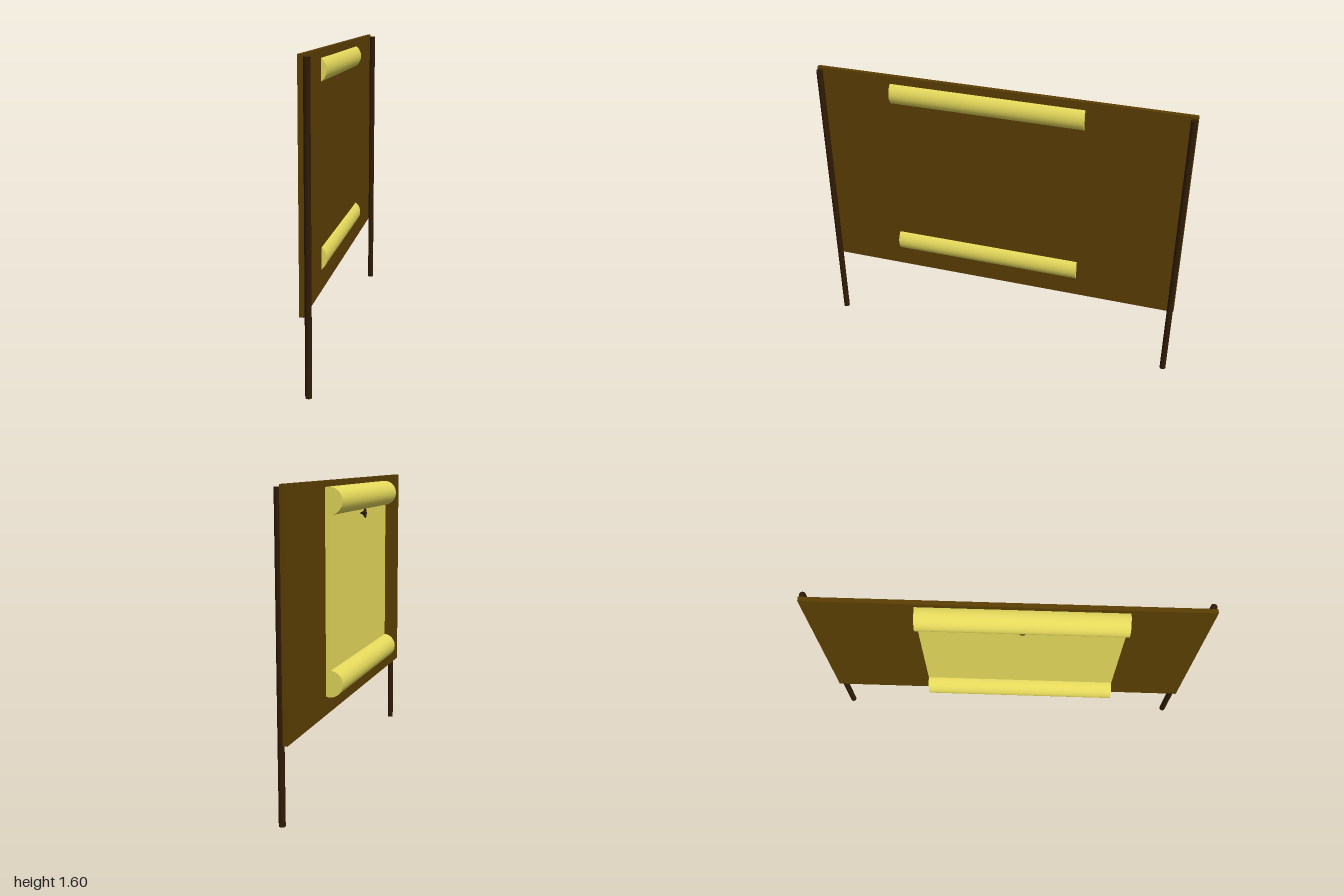
import * as THREE from 'three';

export function createModel() {
  const group = new THREE.Group();
  const mat = (name, color) => {
    const m = new THREE.MeshStandardMaterial({ color });
    m.name = name;
    return m;
  };
  const wood = mat('brown wood', 0x5c4003);
  const darkWood = mat('dark wood', 0x2f1b04);
  const parchment = mat('parchment', 0xe6da5c);

  const add = (name, geometry, material, x, y, z) => {
    const mesh = new THREE.Mesh(geometry, material);
    mesh.name = name;
    mesh.position.set(x, y, z);
    group.add(mesh);
    return mesh;
  };

  // Upright panel
  add('board', new THREE.BoxGeometry(0.023, 1.2, 2), wood, 0.0295, 1, 0);

  // Two posts standing behind the panel ends
  for (const side of [-1, 1]) {
    add('post', new THREE.CylinderGeometry(0.0165, 0.0165, 1.588, 16), darkWood, 0.0565, 0.794, side * 0.982);
  }

  // Scroll: a flat sheet between two rolls that pass through the panel
  const scrollZ = 0.072, scrollLength = 1.04;
  add('sheet', new THREE.BoxGeometry(0.026, 0.933, scrollLength), parchment, 0.005, 1.0335, scrollZ);
  for (const y of [0.567, 1.5]) {
    const roll = new THREE.CylinderGeometry(0.071, 0.071, scrollLength, 40).rotateX(Math.PI / 2);
    add('roll', roll, parchment, -0.002, y, scrollZ);
  }

  // Peg with a flared, slightly narrow head pinning the sheet
  const profile = [[0, 0], [0.005, 0], [0.008, 0.016], [0.026, 0.026], [0.026, 0.03], [0.01, 0.035], [0, 0.035]];
  const peg = new THREE.LatheGeometry(profile.map(([r, h]) => new THREE.Vector2(r, h)), 16);
  peg.rotateZ(Math.PI / 2).scale(1, 1, 0.75);
  add('peg', peg, darkWood, -0.007, 1.41, 0.075);

  return group;
}
